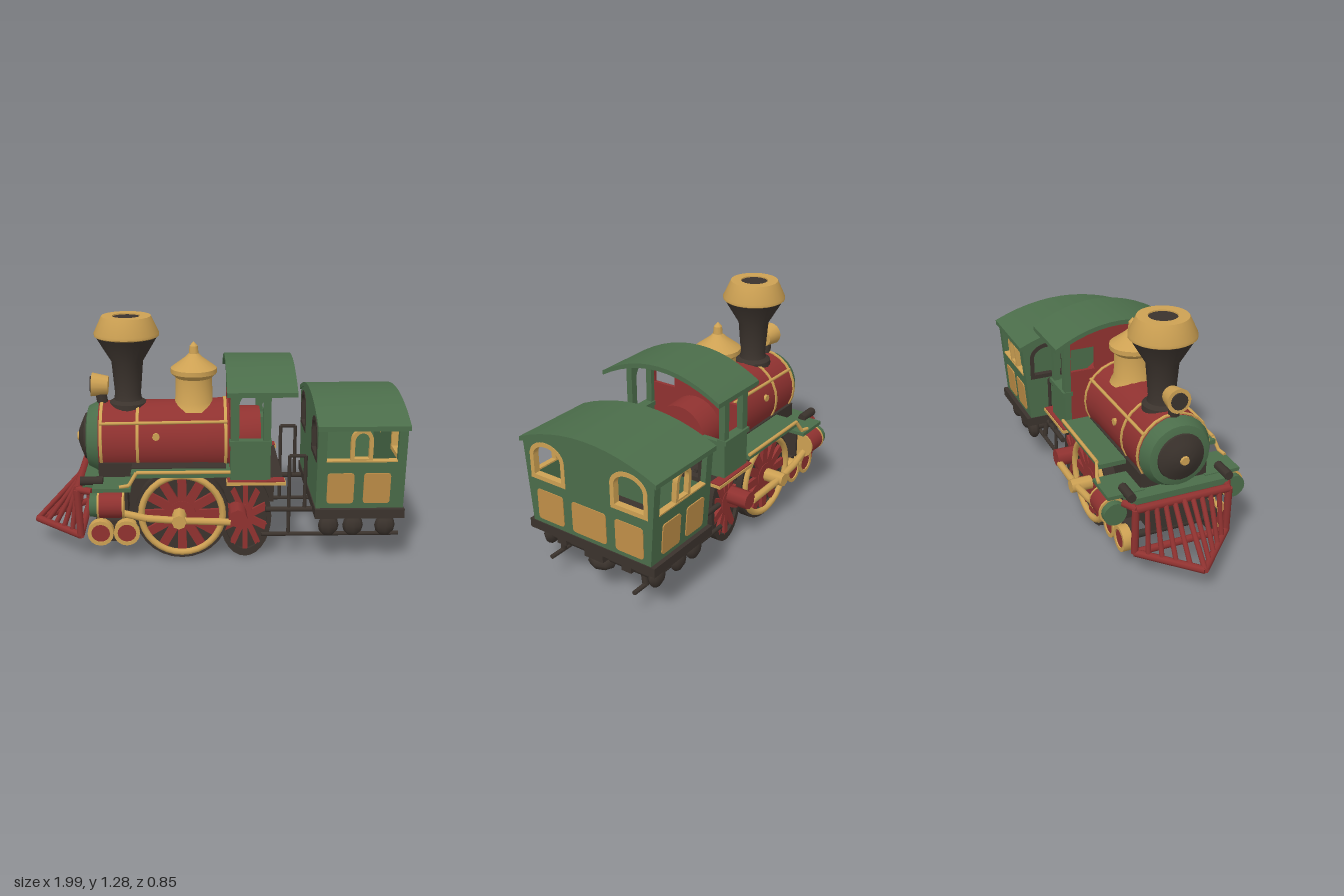
import * as THREE from 'three';
import { toCreasedNormals } from 'three/addons/utils/BufferGeometryUtils.js';

const material = (name, hex) => {
  const m = new THREE.MeshStandardMaterial({ color: hex });
  m.name = name;
  return m;
};

export function createModel() {
  const green = material('green paint', 0x4b6d4a);
  const red = material('red paint', 0x903230);
  const gold = material('brass', 0xcda153);
  const amber = material('amber panel', 0xc08f48);
  const dark = material('dark iron', 0x3b332d);

  const root = new THREE.Group();
  root.name = 'steamTrain';
  const V = (x, y, z) => new THREE.Vector3(x, y, z);

  // ---- helpers ----
  function add(name, geo, mat, parent = root) {
    const m = new THREE.Mesh(geo, mat);
    m.name = name;
    parent.add(m);
    return m;
  }
  function box(name, mat, [x0, x1], [y0, y1], [z0, z1], parent = root) {
    const g = new THREE.BoxGeometry(x1 - x0, y1 - y0, Math.abs(z1 - z0));
    g.translate((x0 + x1) / 2, (y0 + y1) / 2, (z0 + z1) / 2);
    return add(name, g, mat, parent);
  }
  function rod(name, mat, a, b, r, r2 = r, sides = 8) {
    const d = b.clone().sub(a);
    const m = add(name, new THREE.CylinderGeometry(r2, r, d.length(), sides), mat);
    m.position.copy(a).addScaledVector(d, 0.5);
    m.quaternion.setFromUnitVectors(V(0, 1, 0), d.normalize());
    return m;
  }
  const path = (name, mat, pts, r) => pts.slice(1).forEach((p, i) => rod(name, mat, V(...pts[i]), V(...p), r));
  const lathe = (pts, n = 24) =>
    toCreasedNormals(new THREE.LatheGeometry(pts.map(p => new THREE.Vector2(...p)), n), 0.6);
  // profile of [x, radius] listed from back to front
  const latheX = (pts, n) => lathe(pts.map(([x, r]) => [r, -x]), n).rotateZ(Math.PI / 2);
  const ringZ = (r0, r1, w, n = 28) =>
    lathe([[r0, -w / 2], [r1, -w / 2], [r1, w / 2], [r0, w / 2], [r0, -w / 2]], n).rotateX(Math.PI / 2);
  const discZ = (r, w, n = 24) => new THREE.CylinderGeometry(r, r, w, n).rotateX(Math.PI / 2);
  const extrude = (shape, depth) =>
    new THREE.ExtrudeGeometry(shape, { depth, bevelEnabled: false, curveSegments: 12 }).translate(0, 0, -depth / 2);
  function rect(x0, x1, y0, y1, C = THREE.Shape) {
    return new C([[x0, y0], [x1, y0], [x1, y1], [x0, y1]].map(p => new THREE.Vector2(...p)));
  }
  function arch(x0, x1, y0, ySpring, yTop, C = THREE.Path) {
    const s = new C();
    s.moveTo(x0, y0); s.lineTo(x1, y0); s.lineTo(x1, ySpring);
    s.absellipse((x0 + x1) / 2, ySpring, (x1 - x0) / 2, yTop - ySpring, 0, Math.PI, false, 0);
    s.lineTo(x0, y0);
    return s;
  }
  function archFrame(x0, x1, y0, ys, yt, t, depth) {
    const s = arch(x0, x1, y0, ys, yt, THREE.Shape);
    s.holes.push(arch(x0 + t, x1 - t, y0 + t, ys, yt - t));
    return extrude(s, depth);
  }
  function plate(x0, x1, y0, y1, r = 0.02) {
    const s = new THREE.Shape();
    s.moveTo(x0 + r, y0); s.lineTo(x1 - r, y0); s.quadraticCurveTo(x1, y0, x1, y0 + r);
    s.lineTo(x1, y1 - r); s.quadraticCurveTo(x1, y1, x1 - r, y1);
    s.lineTo(x0 + r, y1); s.quadraticCurveTo(x0, y1, x0, y1 - r);
    s.lineTo(x0, y0 + r); s.quadraticCurveTo(x0, y0, x0 + r, y0);
    return extrude(s, 0.008);
  }
  // shape drawn across the train, extruded along it
  const across = (geo, x) => geo.rotateY(Math.PI / 2).translate(x, 0, 0);
  function roof(name, x0, x1, w, yEdge, yTop, t) {
    const s = new THREE.Shape();
    s.moveTo(-w, yEdge - t);
    s.quadraticCurveTo(0, 2 * yTop - yEdge - t, w, yEdge - t);
    s.lineTo(w, yEdge);
    s.quadraticCurveTo(0, 2 * yTop - yEdge, -w, yEdge);
    return add(name, toCreasedNormals(across(extrude(s, x1 - x0), (x0 + x1) / 2), 0.5), green);
  }

  // ---- boiler and smokebox ----
  const axis = 0.62;
  const onAxis = (name, pts, mat, n) => { add(name, latheX(pts, n), mat).position.y = axis; };
  onAxis('boiler', [[0.25, 0], [0.25, 0.16], [0.08, 0.165], [0.08, 0.21], [-0.05, 0.2], [-0.62, 0.195]], red);
  onAxis('smokeboxRing', [[-0.6, 0.192], [-0.63, 0.192], [-0.68, 0.165], [-0.69, 0.13], [-0.69, 0]], green);
  onAxis('smokeboxDoor', [[-0.68, 0.13], [-0.7, 0.125], [-0.72, 0.08], [-0.735, 0.04], [-0.735, 0]], dark);
  onAxis('doorKnob', [[-0.73, 0.028], [-0.745, 0.022], [-0.745, 0]], gold, 10);
  for (const [x, r] of [[-0.605, 0.202], [-0.41, 0.203], [0.06, 0.213]])
    onAxis('boilerBand', [[x + 0.008, 0.18], [x + 0.008, r], [x - 0.008, r], [x - 0.008, 0.18]], gold);
  box('firebox', dark, [-0.62, 0.1], [0.3, 0.52], [-0.185, 0.185]);
  box('mainFrame', dark, [-0.66, 0.3], [0.2, 0.32], [-0.15, 0.15]);
  box('ashPan', dark, [0.08, 0.32], [0.3, 0.45], [-0.2, 0.2]);

  // ---- chimney, dome and lamp ----
  const chimneyX = -0.464;
  add('chimneyStack', lathe([[0.105, 0.77], [0.1, 0.815], [0.076, 0.83], [0.07, 0.86], [0.085, 1.04], [0.165, 1.175]]), dark).position.x = chimneyX;
  add('chimneyCrown', lathe([[0.15, 1.165], [0.174, 1.18], [0.174, 1.195], [0.132, 1.285], [0.075, 1.285], [0.07, 1.24]]), gold).position.x = chimneyX;
  add('chimneyMouth', new THREE.CylinderGeometry(0.074, 0.074, 0.02, 20).translate(chimneyX, 1.268, 0), dark);
  add('steamDome', lathe([[0.125, 0.78], [0.102, 0.82], [0.098, 0.95], [0.125, 0.975], [0.125, 1.0], [0.045, 1.06], [0.026, 1.08], [0.022, 1.12], [0, 1.145]], 20), gold).position.x = -0.107;
  rod('headlamp', gold, V(-0.57, 0.905, 0), V(-0.66, 0.91, 0), 0.05, 0.065, 14);
  rod('lampGlass', dark, V(-0.65, 0.91, 0), V(-0.667, 0.91, 0), 0.045, 0.045, 14);
  rod('lampPost', dark, V(-0.6, 0.79, 0), V(-0.61, 0.86, 0), 0.03);

  // ---- cab ----
  roof('cabRoof', 0.06, 0.42, 0.37, 0.955, 1.065, 0.025);
  const front = new THREE.Shape();
  front.moveTo(-0.3, 0.46); front.lineTo(0.3, 0.46); front.lineTo(0.3, 0.975);
  front.quadraticCurveTo(0, 1.125, -0.3, 0.975);
  for (const s of [-1, 1])
    front.holes.push(rect(...[0.14 * s, 0.28 * s].sort((a, b) => a - b), 0.8, 0.93, THREE.Path));
  add('cabFrontWall', across(extrude(front, 0.02), 0.09), red);
  box('cabFloor', dark, [0.08, 0.36], [0.435, 0.465], [-0.3, 0.3]);

  // ---- cowcatcher ----
  const tip = V(-0.985, 0.135, 0);
  rod('cowcatcherTopBar', red, V(-0.73, 0.4, -0.26), V(-0.73, 0.4, 0.26), 0.022);
  rod('cowcatcherBackBar', red, V(-0.72, 0.14, -0.26), V(-0.72, 0.14, 0.26), 0.02);
  rod('cowcatcherNose', red, tip, V(-0.74, 0.4, 0), 0.015);
  box('bufferBeam', green, [-0.7, -0.6], [0.385, 0.44], [-0.27, 0.27]);

  // ---- parts on both sides ----
  function spokedWheel(name, r, x, y, z, w, s, stretch, n) {
    const g = new THREE.Group();
    g.name = name;
    g.position.set(x, y, z * s);
    g.scale.x = stretch;
    root.add(g);
    add('tyre', ringZ(r * 0.82, r, w), dark, g);
    add('wheelBack', discZ(r * 0.84, w * 0.3), dark, g);
    add('wheelInnerFace', discZ(r * 0.76, 0.006), red, g).position.z = -s * w * 0.2;
    add('hub', discZ(r * 0.3, w * 1.1, 14), red, g);
    for (let i = 0; i < n; i++) {
      const sp = add('spoke', new THREE.BoxGeometry(r * 0.19, r * 0.7, w * 0.4).translate(0, r * 0.5, s * w * 0.3), red, g);
      sp.rotation.z = i * 2 * Math.PI / n;
    }
    return g;
  }
  for (const s of [-1, 1]) {
    // wheels and rods
    const driver = spokedWheel('drivingWheel', 0.25, -0.175, 0.265, 0.25, 0.06, s, 1, 12);
    add('brassRim', new THREE.TorusGeometry(0.217, 0.018, 8, 32), gold, driver).position.z = s * 0.034;
    spokedWheel('trailingWheel', 0.23, 0.165, 0.235, 0.22, 0.055, s, 0.61, 10);
    for (const x of [-0.61, -0.47]) {
      add('leadingWheelRim', ringZ(0.05, 0.07, 0.05, 16), gold).position.set(x, 0.165, s * 0.275);
      add('leadingWheel', discZ(0.053, 0.036, 16), red).position.set(x, 0.165, s * 0.275);
      rod('leadingAxle', dark, V(x, 0.165, 0), V(x, 0.165, s * 0.26), 0.02);
    }
    box('leadingTruck', dark, [-0.64, -0.42], [0.1, 0.22], [s * 0.2, s * 0.25]);
    path('connectingRod', gold, [[-0.48, 0.3, s * 0.35], [-0.36, 0.275, s * 0.36], [-0.19, 0.265, s * 0.37], [0.08, 0.25, s * 0.36]], 0.02);
    rod('crankPin', gold, V(-0.19, 0.265, s * 0.26), V(-0.19, 0.265, s * 0.4), 0.038);
    rod('rearCrank', red, V(0.12, 0.27, s * 0.22), V(0.12, 0.27, s * 0.37), 0.05);

    // steam cylinder
    const cyl = (name, mat, a, b, r) => rod(name, mat, V(a, 0.345, s * 0.335), V(b, 0.345, s * 0.335), r, r, 18);
    cyl('steamCylinder', red, -0.61, -0.48, 0.07);
    cyl('cylinderCap', green, -0.655, -0.61, 0.062);
    cyl('cylinderBand', gold, -0.616, -0.606, 0.073);
    cyl('cylinderBand', gold, -0.486, -0.476, 0.073);
    box('cylinderMount', dark, [-0.6, -0.46], [0.27, 0.43], [s * 0.14, s * 0.31]);

    // running boards with brass edge
    box('runningBoard', green, [-0.44, 0.08], [0.49, 0.515], [s * 0.17, s * 0.335]);
    box('frontBoard', green, [-0.64, -0.44], [0.425, 0.445], [s * 0.17, s * 0.37]);
    path('boardEdge', gold, [[0.08, 0.52, s * 0.335], [-0.41, 0.52, s * 0.335], [-0.45, 0.455, s * 0.35], [-0.5, 0.45, s * 0.36]], 0.01);
    rod('boilerRail', gold, V(-0.61, 0.735, s * 0.162), V(0.07, 0.745, s * 0.17), 0.009);
    rod('frontBuffer', dark, V(-0.71, 0.455, s * 0.27), V(-0.59, 0.455, s * 0.27), 0.025);
    rod('boilerBoss', gold, V(-0.31, 0.67, s * 0.18), V(-0.31, 0.67, s * 0.2), 0.02);

    // cab side
    const side = rect(0.08, 0.29, 0.46, 0.965);
    side.holes.push(arch(0.125, 0.25, 0.68, 0.87, 0.94));
    add('cabSide', extrude(side, 0.035), green).position.z = s * 0.3;
    box('cabRearPanel', green, [0.26, 0.29], [0.46, 0.67], [s * 0.17, s * 0.3]);
    box('cabSill', green, [0.075, 0.295], [0.66, 0.685], [s * 0.275, s * 0.33]);
    box('footplateEdge', gold, [0.06, 0.37], [0.448, 0.464], [s * 0.28, s * 0.345]);
    box('footplateTread', red, [0.065, 0.365], [0.464, 0.47], [s * 0.28, s * 0.34]);

    // cowcatcher fan
    rod('cowcatcherLowerBar', red, tip, V(-0.72, 0.14, s * 0.26), 0.02);
    rod('cowcatcherUpright', red, V(-0.72, 0.14, s * 0.26), V(-0.73, 0.4, s * 0.26), 0.02);
    rod('cowcatcherStay', red, V(-0.73, 0.4, s * 0.25), V(-0.65, 0.4, s * 0.29), 0.02);
    for (let i = 1; i < 5; i++) {
      const t = i / 5;
      rod('cowcatcherBar', red, V(-0.985 + 0.265 * t, 0.135, s * 0.26 * t), V(-0.735, 0.4, s * 0.25 * t), 0.014);
    }

    // gangway gate and couplings
    path('gangwayGate', dark, [[0.395, 0.14, s * 0.27], [0.395, 0.585, s * 0.27], [0.48, 0.585, s * 0.27], [0.48, 0.285, s * 0.27]], 0.01);
    rod('drawbar', dark, V(0.27, 0.285, s * 0.27), V(0.53, 0.285, s * 0.27), 0.015);
    rod('lowerRail', dark, V(0.25, 0.142, s * 0.27), V(0.99, 0.142, s * 0.27), 0.012);

    // carriage side, leaning outwards
    const wall = new THREE.Group();
    wall.name = 'carriageSide';
    wall.position.set(0, 0.325, s * 0.375);
    wall.rotation.x = s * 0.078;
    root.add(wall);
    const ws = rect(0.525, 0.985, 0, 0.46);
    ws.holes.push(rect(0.572, 0.94, 0.27, 0.445, THREE.Path));
    add('sideWall', extrude(ws, 0.03), green, wall).position.z = -s * 0.015;
    add('sideArch', archFrame(0.695, 0.81, 0.265, 0.38, 0.445, 0.02, 0.028), gold, wall).position.z = -s * 0.015;
    box('windowSill', gold, [0.572, 0.94], [0.266, 0.274], [-s * 0.031, s * 0.002], wall);
    for (const x of [0.58, 0.77])
      add('sidePanel', plate(x, x + 0.14, 0.035, 0.205), amber, wall).position.z = s * 0.002;

    // running gear below the carriage
    for (const x of [0.6, 0.73, 0.9]) {
      const spring = add('axleBox', new THREE.SphereGeometry(1, 8, 6), dark);
      spring.scale.set(0.055, 0.06, 0.035);
      spring.position.set(x, 0.22, s * 0.34);
      rod('hanger', dark, V(x, 0.3, s * 0.25), V(x, 0.142, s * 0.27), 0.016);
    }
    box('springBeam', dark, [0.55, 0.97], [0.23, 0.29], [s * 0.18, s * 0.24]);
  }
  // worn dark strip along one running board
  box('boardStrip', dark, [-0.44, 0.06], [0.515, 0.52], [0.17, 0.26]);

  // ---- carriage body ----
  box('carriageFloor', dark, [0.52, 0.99], [0.28, 0.33], [-0.4, 0.4]);
  roof('carriageRoof', 0.52, 0.995, 0.425, 0.79, 0.885, 0.025);
  for (const [x, frameMat] of [[0.54, dark], [0.97, gold]]) {
    const end = new THREE.Shape();
    end.moveTo(-0.375, 0.325); end.lineTo(0.375, 0.325); end.lineTo(0.41, 0.78);
    end.quadraticCurveTo(0, 0.96, -0.41, 0.78);
    for (const [a, b] of [[-0.355, -0.155], [0.155, 0.355]]) {
      end.holes.push(arch(a, b, 0.59, 0.71, 0.785));
      add('endWindowFrame', across(archFrame(a - 0.012, b + 0.012, 0.58, 0.71, 0.797, 0.024, 0.036), x), frameMat);
    }
    add('endWall', across(extrude(end, 0.03), x), green);
  }
  for (const [a, b] of [[-0.335, -0.165], [-0.108, 0.108], [0.165, 0.335]])
    add('rearPanel', across(plate(a, b, 0.355, 0.525), 0.985), amber);

  // ---- centre gear below the carriage ----
  for (const x of [0.62, 0.9]) {
    rod('carriageAxle', dark, V(x, 0.22, -0.34), V(x, 0.22, 0.34), 0.025);
    const block = add('axleBlock', new THREE.SphereGeometry(1, 8, 6), dark);
    block.scale.set(0.07, 0.05, 0.08);
    block.position.set(x, 0.185, 0);
  }
  box('centreSill', dark, [0.54, 0.97], [0.22, 0.29], [-0.06, 0.06]);
  return root;
}
